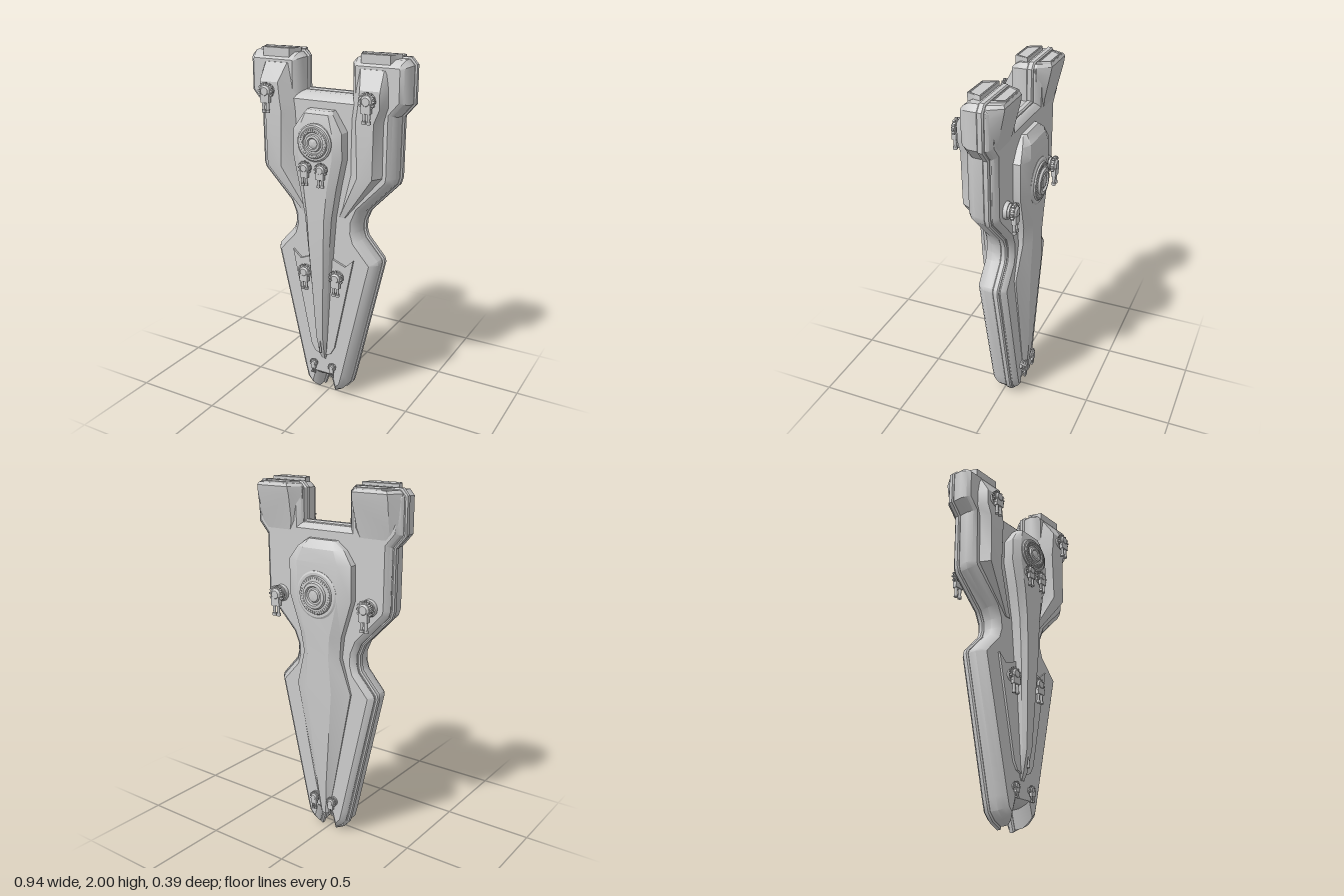
import * as THREE from 'three';
import { toCreasedNormals } from 'three/addons/utils/BufferGeometryUtils.js';

const material = new THREE.MeshStandardMaterial({ color: 0xcccccc, side: THREE.DoubleSide });

function add(parent, name, geometry) {
  const mesh = new THREE.Mesh(geometry, material);
  mesh.name = name;
  parent.add(mesh);
  return mesh;
}

// Closed solid from rings of equal length; faces are turned outward by signed volume.
function loft(rings, crease = 0.5) {
  const pos = [];
  const tri = (a, b, c) => pos.push(...a, ...b, ...c);
  const n = rings[0].length;
  for (let r = 0; r + 1 < rings.length; r++) {
    for (let i = 0; i < n; i++) {
      const j = (i + 1) % n, a = rings[r], b = rings[r + 1];
      tri(a[i], a[j], b[j]);
      tri(a[i], b[j], b[i]);
    }
  }
  // Caps are triangulated in whichever plane the ring lies.
  const cap = (ring, flip) => {
    const flatZ = ring.every(p => Math.abs(p[2] - ring[0][2]) < 1e-6);
    const pts = ring.map(p => new THREE.Vector2(p[0], flatZ ? p[1] : p[2]));
    const cw = THREE.ShapeUtils.area(pts) < 0;
    for (const [a, b, c] of THREE.ShapeUtils.triangulateShape(pts, [])) {
      const area = THREE.ShapeUtils.area([pts[a], pts[b], pts[c]]);
      const same = (area < 0) === cw;
      if (same !== flip) tri(ring[a], ring[b], ring[c]);
      else tri(ring[a], ring[c], ring[b]);
    }
  };
  cap(rings[0], true);
  cap(rings[rings.length - 1], false);
  let volume = 0;
  const v = i => new THREE.Vector3().fromArray(pos, i);
  for (let i = 0; i < pos.length; i += 9) volume += v(i).dot(v(i + 3).cross(v(i + 6)));
  if (volume < 0) {
    for (let i = 0; i < pos.length; i += 9) {
      for (let k = 0; k < 3; k++) [pos[i + 3 + k], pos[i + 6 + k]] = [pos[i + 6 + k], pos[i + 3 + k]];
    }
  }
  const g = new THREE.BufferGeometry();
  g.setAttribute('position', new THREE.Float32BufferAttribute(pos, 3));
  return toCreasedNormals(g, crease);
}

// Right half of the hull outline, from the bottom notch up to the gap between the arms.
const half = [[0.02, 0.1], [0.048, 0], [0.105, 0.03], [0.14, 0.07], [0.158, 0.14], [0.325, 0.875],
  [0.318, 0.9], [0.22, 1.01], [0.208, 1.05], [0.21, 1.1], [0.235, 1.16], [0.4, 1.33], [0.412, 1.37],
  [0.415, 1.69], [0.472, 1.755], [0.472, 1.95], [0.44, 1.985], [0.17, 1.985], [0.14, 1.955], [0.14, 1.79]];
const outline = [...half, ...half.map(([x, y]) => [-x, y]).reverse()];

function inset(poly, d) {
  const normal = (a, b) => {
    const l = Math.hypot(b[0] - a[0], b[1] - a[1]);
    return [(a[1] - b[1]) / l, (b[0] - a[0]) / l];
  };
  return poly.map((p, i) => {
    const a = normal(poly.at(i - 1), p), b = normal(p, poly[(i + 1) % poly.length]);
    const k = d / (1 + a[0] * b[0] + a[1] * b[1]);
    return [p[0] + (a[0] + b[0]) * k, p[1] + (a[1] + b[1]) * k];
  });
}
const hullLayer = levels => loft(levels.map(([z, d]) => inset(outline, d).map(([x, y]) => [x, y, z])));

// Symmetric spine: rows are [y, base half width, shoulder z, top half width, top z].
const spine = (rows, baseZ) => loft(rows.map(([y, w, zs, t, zt]) =>
  [[-w, y, baseZ], [w, y, baseZ], [w, y, zs], [t, y, zt], [-t, y, zt], [-w, y, zs]]), 0.45);

// Stepped round emitter facing +z.
function makeDome(name, profile, teeth, toothRadius, toothZ) {
  const dome = new THREE.Group();
  dome.name = name;
  const lathe = new THREE.LatheGeometry(profile.map(p => new THREE.Vector2(...p)), 48).rotateX(Math.PI / 2);
  add(dome, 'domeRings', toCreasedNormals(lathe, 0.5));
  for (let i = 0; i < teeth; i++) {
    const a = i / teeth * Math.PI * 2;
    const tooth = add(dome, 'domeTooth', new THREE.BoxGeometry(0.012, 0.005, 0.006));
    tooth.position.set(Math.cos(a) * toothRadius, Math.sin(a) * toothRadius, toothZ);
    tooth.rotation.z = a;
  }
  return dome;
}

// Twin gun turret facing +z with its barrels pointing down.
function makeTurret() {
  const t = new THREE.Group();
  t.name = 'turret';
  const disc = (name, r0, r1, h, z) => add(t, name,
    toCreasedNormals(new THREE.CylinderGeometry(r1, r0, h, 20).rotateX(Math.PI / 2), 0.5)).position.z = z;
  disc('turretBase', 0.034, 0.034, 0.04, -0.008);
  disc('turretNeck', 0.026, 0.026, 0.012, 0.016);
  disc('turretHead', 0.037, 0.034, 0.016, 0.027);
  disc('turretCap', 0.03, 0.02, 0.01, 0.039);
  for (let i = 0; i < 12; i++) {
    const a = i / 12 * Math.PI * 2;
    const tooth = add(t, 'turretTooth', new THREE.BoxGeometry(0.014, 0.009, 0.014));
    tooth.position.set(Math.cos(a) * 0.037, Math.sin(a) * 0.037, 0.027);
    tooth.rotation.z = a;
  }
  add(t, 'gunHouse', new THREE.BoxGeometry(0.05, 0.045, 0.024)).position.set(0, -0.035, 0.03);
  for (const s of [-1, 1]) {
    add(t, 'gunBarrel', new THREE.CylinderGeometry(0.009, 0.007, 0.055, 10)).position.set(s * 0.013, -0.078, 0.03);
    add(t, 'gunMuzzle', new THREE.CylinderGeometry(0.011, 0.011, 0.014, 10)).position.set(s * 0.013, -0.102, 0.03);
  }
  return t;
}

export function createModel() {
  const model = new THREE.Group();
  model.name = 'starship';

  // Three stacked hull layers
  add(model, 'frontHull', hullLayer([[-0.04, 0.012], [-0.02, 0.008], [0.02, 0.01], [0.05, 0.028], [0.066, 0.046]]));
  add(model, 'hullRim', hullLayer([[-0.067, 0.008], [-0.06, 0], [-0.038, 0], [-0.031, 0.008]]));
  add(model, 'backHull', hullLayer([[-0.1, 0.042], [-0.085, 0.022], [-0.073, 0.014], [-0.055, 0.014]]));

  // Central spines
  add(model, 'frontSpine', spine([
    [1.705, 0.075, 0.1, 0.06, 0.115], [1.69, 0.085, 0.115, 0.068, 0.138], [1.6, 0.144, 0.13, 0.1, 0.156],
    [1.46, 0.146, 0.13, 0.1, 0.157], [1.3, 0.112, 0.13, 0.07, 0.157], [1.13, 0.082, 0.125, 0.052, 0.155],
    [0.94, 0.066, 0.12, 0.044, 0.15], [0.4, 0.032, 0.095, 0.02, 0.117], [0.28, 0.024, 0.075, 0.014, 0.088],
    [0.24, 0.012, 0.067, 0.008, 0.07]], 0.05));
  add(model, 'backSpine', spine([
    [1.705, 0.09, -0.11, 0.08, -0.125], [1.66, 0.15, -0.13, 0.1, -0.156], [1.59, 0.2, -0.14, 0.13, -0.166],
    [1.4, 0.2, -0.14, 0.13, -0.169], [1.2, 0.135, -0.135, 0.08, -0.167], [1.08, 0.12, -0.125, 0.07, -0.162],
    [0.88, 0.18, -0.11, 0.085, -0.158], [0.3, 0.065, -0.103, 0.03, -0.132], [0.11, 0.025, -0.1, 0.012, -0.112]], -0.08));
  const fin = add(model, 'spineFin', new THREE.ConeGeometry(0.01, 0.1, 4));
  fin.position.set(0, 0.35, 0.108);

  for (const s of [-1, 1]) {
    // Raised armour along each arm: [y, outer base, outer top, inner top, inner base, z]
    const armour = [[1.925, 0.36, 0.345, 0.215, 0.2, 0.07], [1.83, 0.375, 0.35, 0.24, 0.18, 0.125],
      [1.74, 0.375, 0.35, 0.23, 0.165, 0.126], [1.67, 0.355, 0.32, 0.22, 0.155, 0.126],
      [1.38, 0.355, 0.315, 0.23, 0.15, 0.124], [1.13, 0.15, 0.13, 0.1, 0.088, 0.07]];
    add(model, 'armArmour', loft(armour.map(([y, a, b, c, d, z]) =>
      [[a, 0.05], [b, z], [c, z], [d, 0.05]].map(([x, zz]) => [s * x, y, zz]))));

    // Thickened back of each arm's end
    const pod = [[1.72, 0.415, 0.37, 0.23, 0.2, -0.098], [1.78, 0.448, 0.4, 0.21, 0.17, -0.108],
      [1.92, 0.453, 0.41, 0.2, 0.155, -0.14], [1.96, 0.45, 0.408, 0.205, 0.158, -0.146],
      [1.975, 0.43, 0.4, 0.215, 0.17, -0.138]];
    add(model, 'podBack', loft(pod.map(([y, a, b, c, d, z]) =>
      [[a, -0.055], [a, -0.08], [b, z], [c, z], [d, -0.08], [d, -0.055]].map(([x, zz]) => [s * x, y, zz]))));

    // Engine exhausts on top, with a sunken face inside a thin lip
    for (const [name, near, far, top] of [['frontExhaust', -0.022, 0.055, 2], ['backExhaust', -0.07, -0.137, 1.985]]) {
      const zDir = Math.sign(far - near);
      add(model, name, loft([[1.92, 0], [top - 0.003, 0], [top, 0.003], [top, 0.007], [top - 0.006, 0.009]].map(([y, d]) =>
        [[0.18 + d, near + zDir * d], [0.4 - d, near + zDir * d], [0.37 - d, far - zDir * d], [0.21 + d, far - zDir * d]]
          .map(([x, z]) => [s * x, y, z]))));
    }

    // Thin pointed plates beside the lower spine
    const plate = [[0.19, 0.895], [0.14, 0.85], [0.05, 0.885], [0.012, 0.27], [0.05, 0.285], [0.075, 0.33]];
    add(model, 'lowerPlate', loft([0.05, 0.079].map(z => plate.map(([x, y]) => [s * x, y, z]))));

    // Turrets: [x, y, z, scale], negative z on the back
    for (const [x, y, z, k] of [[0.295, 1.785, 0.126, 1.03], [0.048, 1.41, 0.156, 0.86], [0.1, 0.785, 0.08, 0.98],
      [0.06, 0.2, 0.066, 0.57], [0.29, 1.38, -0.118, 1.1], [0.06, 0.2, -0.105, 0.7]]) {
      const turret = makeTurret();
      turret.position.set(s * x, y, z);
      turret.scale.setScalar(k);
      if (z < 0) {
        turret.rotation.y = Math.PI;
        const post = add(model, 'turretPost', new THREE.CylinderGeometry(0.04 * k, 0.044 * k, 0.03, 20).rotateX(-Math.PI / 2));
        post.position.set(s * x, y, z + 0.013);
      }
      model.add(turret);
    }
  }

  // Round emitters on both spines
  const frontDome = makeDome('frontDome', [[0.1, -0.02], [0.1, 0.006], [0.092, 0.012], [0.082, 0.012], [0.078, 0.018],
    [0.06, 0.02], [0.056, 0.014], [0.046, 0.014], [0.042, 0.024], [0.03, 0.026], [0.025, 0.02], [0.012, 0.025], [0, 0.026]],
    36, 0.07, 0.019);
  frontDome.position.set(0, 1.545, 0.156);
  const backDome = makeDome('backDome', [[0.128, -0.03], [0.128, 0.002], [0.118, 0.008], [0.104, 0.008], [0.1, 0.016],
    [0.074, 0.019], [0.068, 0.03], [0.052, 0.032], [0.046, 0.022], [0.036, 0.022], [0.03, 0.03], [0.012, 0.033], [0, 0.033]],
    40, 0.09, 0.017);
  backDome.position.set(0, 1.42, -0.167);
  backDome.rotation.y = Math.PI;
  model.add(frontDome, backDome);
  return model;
}
